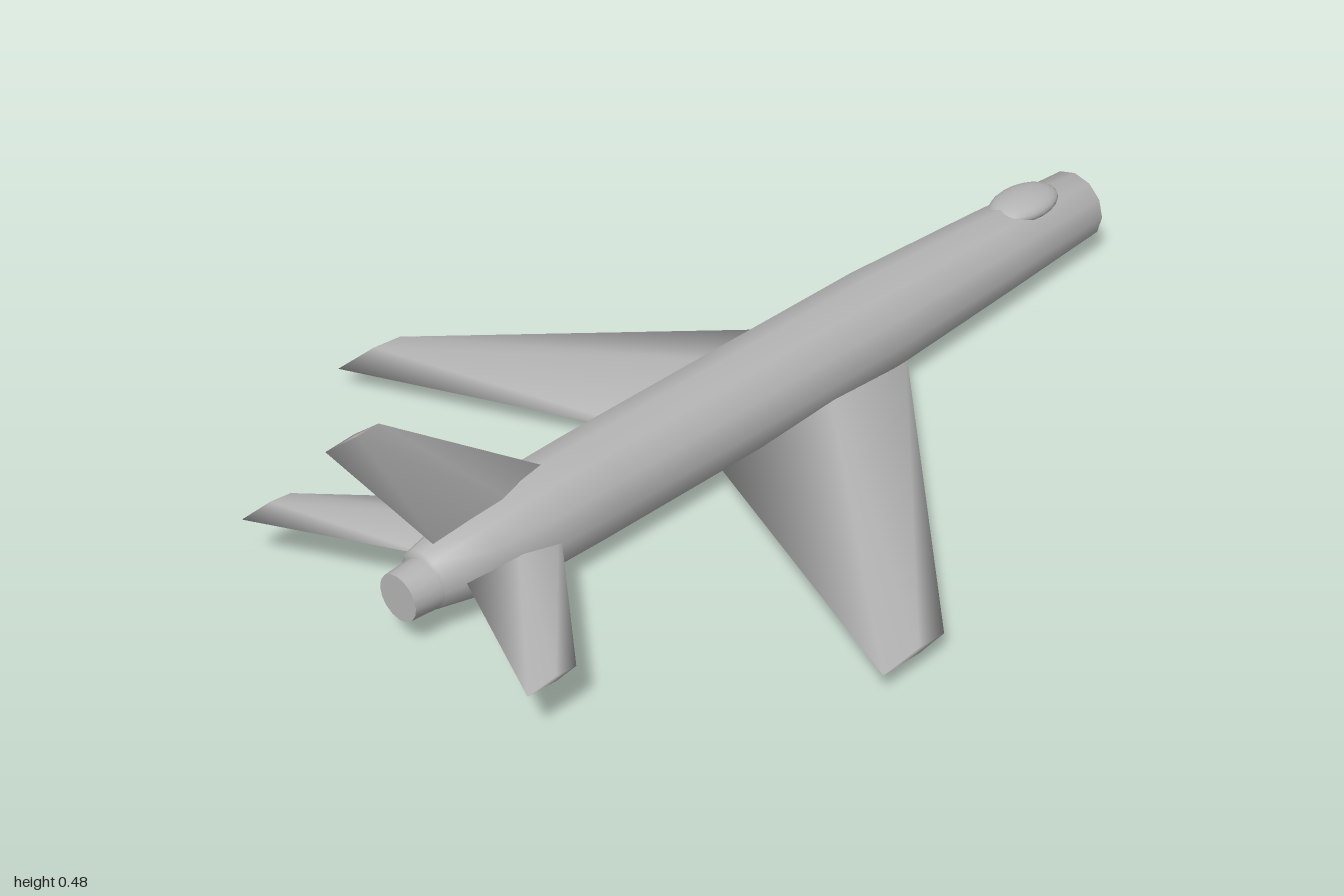
import * as THREE from 'three';

// Skins a list of equal-sized rings; caps share vertices so the ends shade softly
function loft(rings, capStart, capEnd) {
  const n = rings[0].length, pos = rings.flat(2), idx = [];
  for (let r = 0; r < rings.length - 1; r++) {
    for (let i = 0; i < n; i++) {
      const a = r * n + i, b = r * n + (i + 1) % n;
      idx.push(a, b, b + n, a, b + n, a + n);
    }
  }
  const cap = (r, flip) => {
    const c = pos.length / 3;
    for (let k = 0; k < 3; k++) pos.push(rings[r].reduce((s, p) => s + p[k], 0) / n);
    for (let i = 0; i < n; i++) {
      const a = r * n + i, b = r * n + (i + 1) % n;
      idx.push(c, flip ? b : a, flip ? a : b);
    }
  };
  if (capStart) cap(0, true);
  if (capEnd) cap(rings.length - 1, false);
  const g = new THREE.BufferGeometry();
  g.setAttribute('position', new THREE.Float32BufferAttribute(pos, 3));
  g.setIndex(idx);
  g.computeVertexNormals();
  return g;
}

// Round cross-section across z
function circle(z, y, r, n = 12) {
  return Array.from({ length: n }, (_, i) => {
    const a = (i / n) * Math.PI * 2;
    return [Math.cos(a) * r, y + Math.sin(a) * r, z];
  });
}

// Swept horizontal surface; each station is [x, leadingZ, trailingZ, halfThickness]
function wing(side, y, stations) {
  const rings = stations.map(([x, le, te, t]) => {
    const mid = le + (te - le) * 0.42;
    const ring = [[side * x, y + t, mid], [side * x, y, te], [side * x, y - t, mid], [side * x, y, le]];
    return side > 0 ? ring : ring.reverse();
  });
  return loft(rings, false, true);
}

export function createModel() {
  const model = new THREE.Group();
  const metal = new THREE.MeshStandardMaterial({ color: 0xb4b4b4 });
  const add = (name, geometry) => {
    const mesh = new THREE.Mesh(geometry, metal);
    mesh.name = name;
    model.add(mesh);
    return mesh;
  };

  // Fuselage: blunt nose at -z, tapered tail at +z; rows are [z, centreY, radius]
  add('fuselage', loft([
    [-1, 0.1, 0.076], [-0.72, 0.103, 0.09], [-0.36, 0.105, 0.105], [0, 0.107, 0.105],
    [0.42, 0.111, 0.103], [0.58, 0.112, 0.1], [0.7, 0.114, 0.079], [0.81, 0.115, 0.057],
  ].map((s) => circle(...s)), true, true));

  // Exhaust nozzle with a flat end
  add('nozzle', loft([circle(0.78, 0.108, 0.052, 16), circle(0.87, 0.108, 0.046, 16)]));
  add('nozzleEnd', new THREE.CircleGeometry(0.046, 16)).position.set(0, 0.108, 0.87);

  // Canopy bubble
  const canopy = add('canopy', new THREE.SphereGeometry(1, 20, 12));
  canopy.scale.set(0.056, 0.026, 0.09);
  canopy.position.set(0, 0.176, -0.83);

  // Main wings and tailplanes
  for (const [side, label] of [[1, 'left'], [-1, 'right']]) {
    add(label + 'Wing', wing(side, 0.049, [[0.04, -0.42, 0.13, 0.02], [0.7, 0.245, 0.405, 0.006]]));
    add(label + 'Tailplane', wing(side, 0.117, [[0.03, 0.515, 0.752, 0.011], [0.366, 0.8, 0.912, 0.005]]));
  }

  // Swept tail fin; rows are [y, leadingZ, trailingZ, halfThickness]
  add('tailFin', loft([[0.15, 0.44, 0.765, 0.016], [0.476, 0.885, 1, 0.005]].map(([y, le, te, t]) => {
    const mid = le + (te - le) * 0.42;
    return [[0, y, te], [t, y, mid], [0, y, le], [-t, y, mid]];
  }), false, true));

  return model;
}
